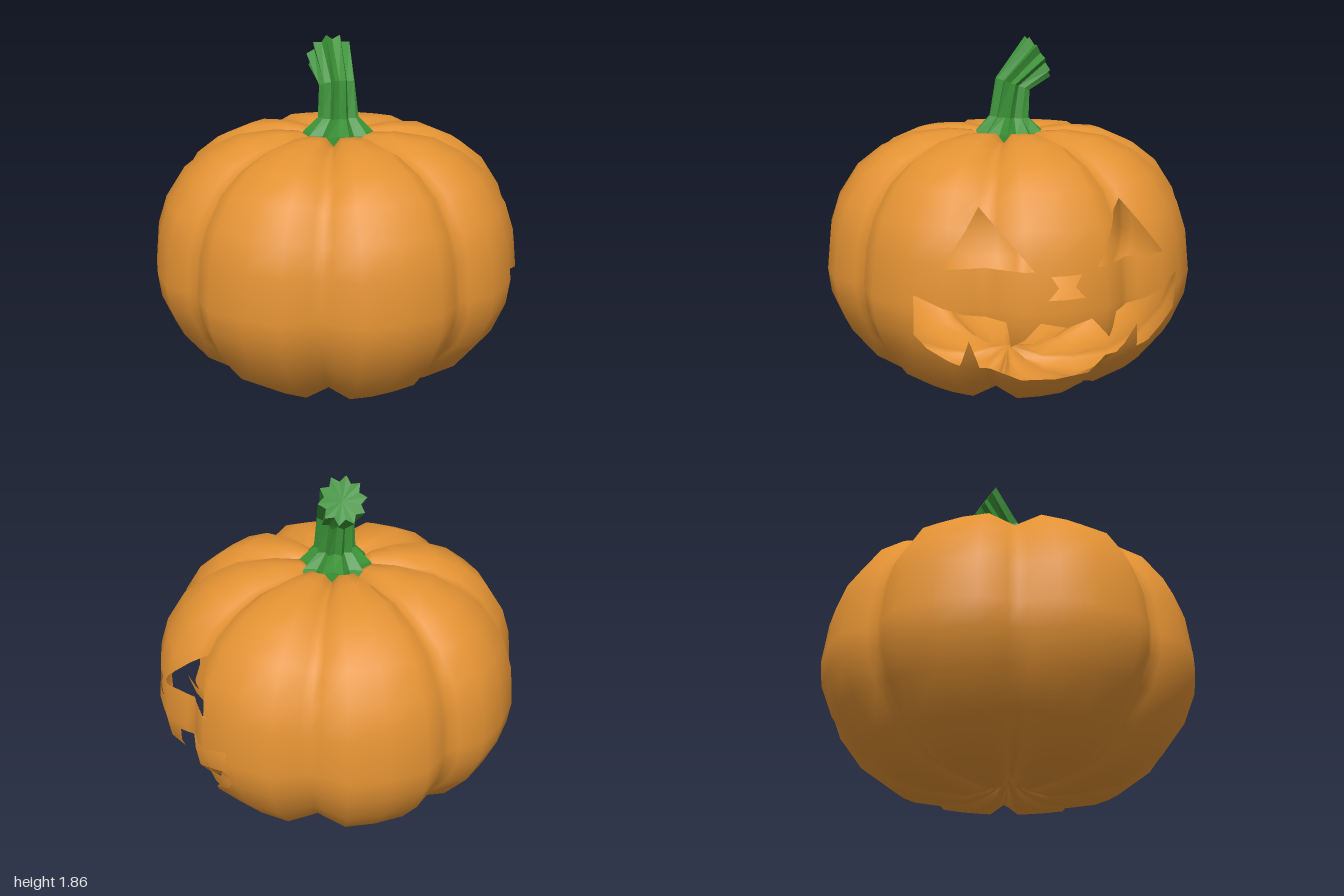
import * as THREE from 'three';

const LOBES = 8, MID_Y = 0.69;
// Lobe cross-section: angle from the lobe centre (degrees) and radius factor
const LOBE = [[-22.5, 0.925], [-19.3, 0.945], [-11.5, 1], [0, 1], [11.5, 1], [19.3, 0.945]];
// Vertical profile through a lobe centre: radius, height
const PROFILE = [[0, 0.1], [0.1, 0.035], [0.22, 0], [0.4, 0.008], [0.6, 0.055], [0.79, 0.19], [0.92, 0.36],
  [0.985, 0.52], [1, 0.65], [0.975, 0.87], [0.925, 1.02], [0.82, 1.18], [0.69, 1.28], [0.53, 1.35],
  [0.33, 1.37], [0.2, 1.36], [0.11, 1.3]];

// Face openings as (z, y) outlines, carved through the +x side
const EYE = [[0.555, 0.845], [0.35, 1.108], [0.15, 0.845]];
const NOSE = [[-0.09, 0.71], [0.09, 0.71], [0.04, 0.765], [0.075, 0.82], [-0.075, 0.82], [-0.04, 0.765]];
const MOUTH_TOP = [[0, 0.575], [0.125, 0.605], [0.245, 0.472], [0.27, 0.603], [0.45, 0.63], [0.667, 0.71]];
const MOUTH_LOW = [[0.667, 0.51], [0.605, 0.437], [0.455, 0.345], [0.425, 0.49], [0.355, 0.315], [0.18, 0.267], [0, 0.255]];
const mirror = pts => pts.map(([z, y]) => [-z, y]).reverse();
const mouthHalf = [...MOUTH_TOP, ...MOUTH_LOW];
const HOLES = [EYE, mirror(EYE), NOSE, [...mouthHalf, ...mirror(mouthHalf).slice(1, -1)]];

// Break an outline into counter-clockwise triangles
function cutters(outline) {
  const pts = outline.map(p => new THREE.Vector2(...p));
  if (THREE.ShapeUtils.isClockWise(pts)) pts.reverse();
  return THREE.ShapeUtils.triangulateShape(pts, []).map(f => {
    const t = f.map(i => pts[i]);
    return THREE.ShapeUtils.area(t) < 0 ? t.reverse() : t;
  });
}

// Split a polygon of [x, y, z, nx, ny, nz] corners by the line a-b seen along x
function split(poly, a, b) {
  const side = v => (b.x - a.x) * (v[1] - a.y) - (b.y - a.y) * (v[2] - a.x);
  const inside = [], outside = [];
  poly.forEach((p, i) => {
    const q = poly[(i + 1) % poly.length], dp = side(p), dq = side(q);
    if (dp >= -1e-9) inside.push(p);
    if (dp <= 1e-9) outside.push(p);
    if ((dp > 1e-9 && dq < -1e-9) || (dp < -1e-9 && dq > 1e-9)) {
      const m = p.map((c, k) => c + (q[k] - c) * dp / (dp - dq));
      inside.push(m);
      outside.push(m);
    }
  });
  return [inside, outside];
}

// Parts of a polygon lying outside a triangle
function subtract(poly, tri) {
  let rest = poly;
  const kept = [];
  for (let i = 0; i < 3; i++) {
    const [inside, outside] = split(rest, tri[i], tri[(i + 1) % 3]);
    if (inside.length < 3) return [poly];
    if (outside.length > 2) kept.push(outside);
    rest = inside;
  }
  return kept;
}

// Grid of rings closed around; rings run upward, angles from +z to +x
function ringGeometry(rings) {
  const n = rings[0].length, index = [];
  for (let i = 0; i < rings.length - 1; i++) {
    for (let j = 0; j < n; j++) {
      const a = i * n + j, b = i * n + (j + 1) % n;
      index.push(a, b, b + n, a, b + n, a + n);
    }
  }
  const geo = new THREE.BufferGeometry();
  geo.setAttribute('position', new THREE.Float32BufferAttribute(rings.flat(2), 3));
  geo.setIndex(index);
  geo.computeVertexNormals();
  return geo;
}

function carvedShell() {
  const rings = PROFILE.map(([r, y], i) => {
    const ring = [];
    for (let l = 0; l < LOBES; l++) {
      for (const [deg, f] of LOBE) {
        const a = THREE.MathUtils.degToRad(l * 360 / LOBES + deg);
        const k = i === 0 ? 1 : f;
        ring.push([r * k * Math.sin(a), MID_Y + (y - MID_Y) * k, r * k * Math.cos(a)]);
      }
    }
    return ring;
  });
  const grid = ringGeometry(rings);
  const P = grid.attributes.position, N = grid.attributes.normal, idx = grid.index.array;
  for (let j = 0; j < rings[0].length; j++) N.setXYZ(j, 0, -1, 0);
  const corner = i => [P.getX(i), P.getY(i), P.getZ(i), N.getX(i), N.getY(i), N.getZ(i)];
  const tris = HOLES.flatMap(cutters);
  const pos = [], nor = [];
  for (let t = 0; t < idx.length; t += 3) {
    let polys = [[corner(idx[t]), corner(idx[t + 1]), corner(idx[t + 2])]];
    if (polys[0].every(v => v[0] > 0.2)) {
      for (const tri of tris) polys = polys.flatMap(p => subtract(p, tri));
    }
    for (const p of polys) {
      for (let k = 1; k < p.length - 1; k++) {
        for (const v of [p[0], p[k], p[k + 1]]) {
          pos.push(...v.slice(0, 3));
          nor.push(...v.slice(3));
        }
      }
    }
  }
  const geo = new THREE.BufferGeometry();
  geo.setAttribute('position', new THREE.Float32BufferAttribute(pos, 3));
  geo.setAttribute('normal', new THREE.Float32BufferAttribute(nor, 3));
  geo.normalizeNormals();
  return geo;
}

// Ribbed stem: star-shaped rings that lean back and twist toward the cut end
function stemGeometry() {
  const SECTIONS = [ // height, z, radius, tilt (degrees), twist
    [1.26, 0, 0.24, 0, 0], [1.35, 0, 0.19, 0, 0], [1.43, 0, 0.11, 3, 0.08],
    [1.605, -0.02, 0.098, 20, 0.2], [1.75, -0.16, 0.128, 60, 0.35], [1.745, -0.155, 0, 60, 0.35]];
  const rings = SECTIONS.map(([y, z, r, tilt, twist]) => {
    const t = THREE.MathUtils.degToRad(tilt), ring = [];
    for (let j = 0; j < 20; j++) {
      const a = j / 20 * Math.PI * 2 + twist, k = r * (j % 2 ? 0.74 : 1);
      const u = k * Math.cos(a);
      ring.push([k * Math.sin(a) + 0.012, y + u * Math.sin(t), z + u * Math.cos(t)]);
    }
    return ring;
  });
  return ringGeometry(rings);
}

export function createModel() {
  const group = new THREE.Group();
  const add = (name, geo, color, flatShading) => {
    const mat = new THREE.MeshStandardMaterial({ color, flatShading, side: THREE.DoubleSide });
    const mesh = new THREE.Mesh(geo, mat);
    mesh.name = name;
    group.add(mesh);
  };
  add('carvedPumpkinShell', carvedShell(), 0xe39233, false);
  add('stem', stemGeometry(), 0x3a9236, true);
  return group;
}
